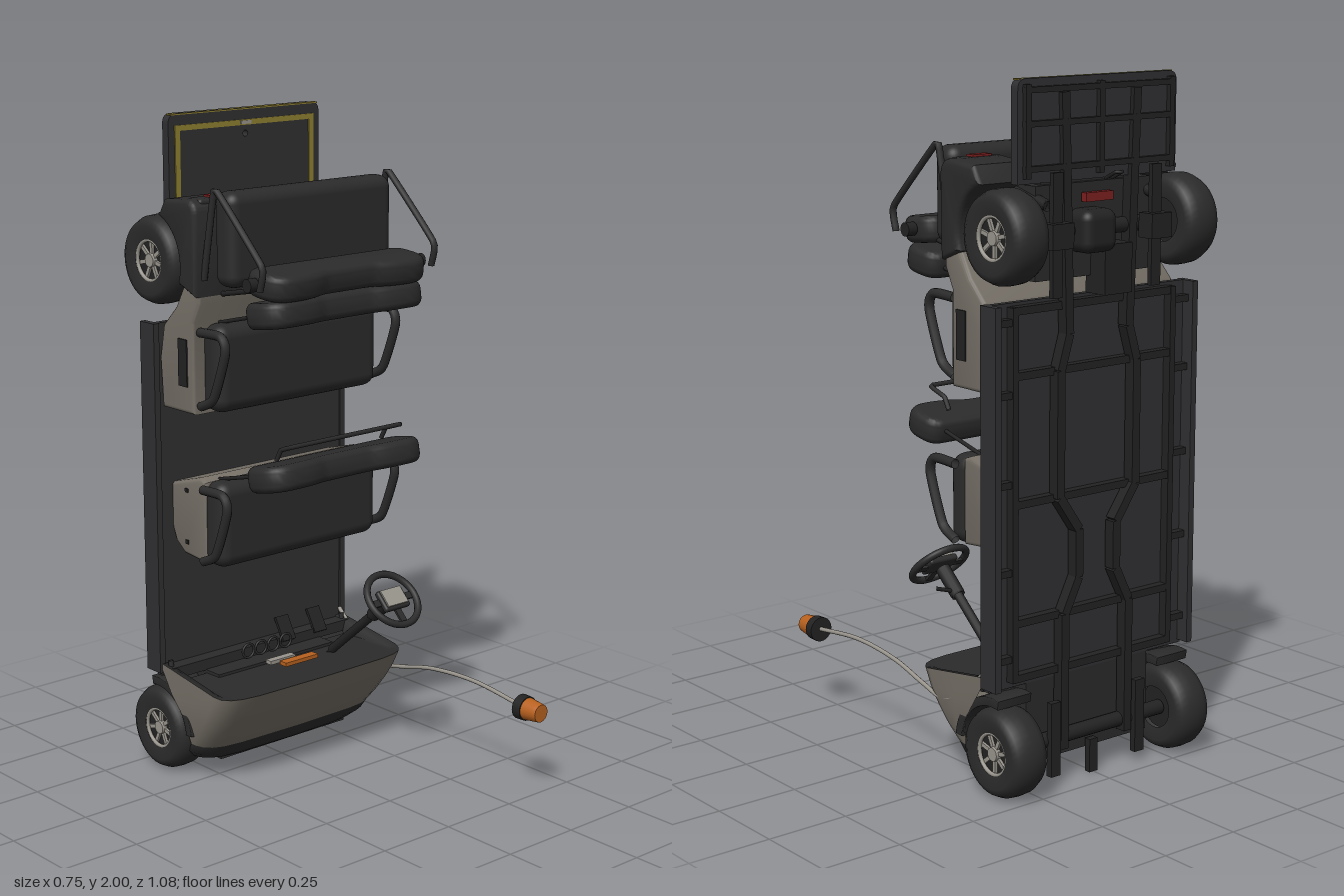
import * as THREE from 'three';
import { RoundedBoxGeometry } from 'three/addons/geometries/RoundedBoxGeometry.js';
import { toCreasedNormals } from 'three/addons/utils/BufferGeometryUtils.js';

// The cart stands on its nose: y runs along its length, z is its height.
const mat = (name, color, side = THREE.FrontSide) => {
  const m = new THREE.MeshStandardMaterial({ color, side });
  m.name = name;
  return m;
};

export function createModel() {
  const root = new THREE.Group();
  root.name = 'passengerCart';
  const black = mat('black vinyl', 0x2b2b2b, THREE.DoubleSide);
  const dark = mat('dark frame', 0x222222);
  const floorMat = mat('floor charcoal', 0x303032);
  const taupe = mat('taupe body', 0x756f66, THREE.DoubleSide);
  const grey = mat('light grey', 0x99958d);
  const yellow = mat('yellow edging', 0x8f7f30);
  const orange = mat('orange lens', 0xb8611f);
  const red = mat('red lens', 0x7d1f1f);

  const add = (name, geo, m, x = 0, y = 0, z = 0, parent = root) => {
    const o = new THREE.Mesh(geo, m);
    o.name = name;
    o.position.set(x, y, z);
    parent.add(o);
    return o;
  };
  const box = (name, m, x, y, z, w, h, d) => add(name, new THREE.BoxGeometry(w, h, d), m, x, y, z);
  const soft = (name, m, x, y, z, w, h, d, r) => add(name, new RoundedBoxGeometry(w, h, d, 4, r), m, x, y, z);
  const tube = (name, m, pts, r, tension = 0.2) => {
    const c = new THREE.CatmullRomCurve3(pts.map(p => new THREE.Vector3(...p)), false, 'catmullrom', tension);
    return add(name, new THREE.TubeGeometry(c, pts.length * 8, r, 10), m);
  };
  const bar = (name, m, a, b, w, d) => {  // box beam between two points
    const A = new THREE.Vector3(...a), B = new THREE.Vector3(...b);
    const o = add(name, new THREE.BoxGeometry(w, d, A.distanceTo(B)), m);
    o.position.copy(A).lerp(B, 0.5);
    o.up.set(0, 0.001, 1);
    o.lookAt(B);
    return o;
  };
  // Side profile of [z, y] points, extruded across x
  const profile = (name, m, shape, width, x = 0, bevel = 0.012) => {
    const g = new THREE.ExtrudeGeometry(shape, { depth: width - 2 * bevel, bevelSize: bevel, bevelThickness: bevel,
      bevelOffset: -bevel, bevelSegments: 3, curveSegments: 20 });
    g.rotateY(-Math.PI / 2).translate(width / 2 - bevel, 0, 0);
    return add(name, toCreasedNormals(g, 0.6), m, x);
  };
  const poly = pts => new THREE.Shape(pts.map(p => new THREE.Vector2(...p)));

  // Wheels: lathed tyre, dished rim, spokes
  const tyre = new THREE.LatheGeometry([[0.062, -0.052], [0.1, -0.06], [0.119, -0.05], [0.13, -0.028], [0.132, 0],
    [0.13, 0.028], [0.119, 0.05], [0.1, 0.06], [0.062, 0.052]].map(p => new THREE.Vector2(...p)), 40);
  for (const s of [-1, 1]) for (const y of [0.132, 1.582]) {
    const w = new THREE.Group();
    w.name = y < 1 ? 'frontWheel' : 'rearWheel';
    w.position.set(s * 0.31, y, -0.408);
    w.rotation.z = -s * Math.PI / 2;
    root.add(w);
    add('tyre', tyre, black, 0, 0, 0, w);
    add('rimDisc', new THREE.CylinderGeometry(0.066, 0.066, 0.07, 32), dark, 0, 0, 0, w);
    const ring = add('rimRing', new THREE.TorusGeometry(0.06, 0.006, 8, 32), grey, 0, 0.046, 0, w);
    ring.rotation.x = Math.PI / 2;
    add('hub', new THREE.CylinderGeometry(0.02, 0.024, 0.03, 16), grey, 0, 0.035, 0, w);
    for (let i = 0; i < 7; i++) {
      const a = i * Math.PI * 2 / 7;
      const sp = add('spoke', new THREE.BoxGeometry(0.045, 0.014, 0.012), grey, Math.cos(a) * 0.038, 0.036, -Math.sin(a) * 0.038, w);
      sp.rotation.y = a;
    }
  }

  // Floor tray with side skirts
  box('floorPlate', floorMat, 0, 0.855, -0.39, 0.73, 1.09, 0.02);
  for (const s of [-1, 1]) {
    box('sideSkirt', floorMat, s * 0.363, 0.86, -0.408, 0.02, 1.08, 0.066);
    box('outerRail', dark, s * 0.29, 0.86, -0.412, 0.02, 1.06, 0.03);
    for (const y of [0.4, 0.65, 0.9, 1.15, 1.35]) box('outrigger', dark, s * 0.325, y, -0.41, 0.07, 0.02, 0.026);
    // Chassis rails, narrowed at the middle
    const path = [[0.12, 0.1], [0.12, 0.5], [0.07, 0.6], [0.07, 0.74], [0.14, 0.84], [0.14, 1.2], [0.11, 1.3], [0.13, 1.96]];
    for (let i = 1; i < path.length; i++)
      bar('chassisRail', dark, [s * path[i - 1][0], path[i - 1][1], -0.425], [s * path[i][0], path[i][1], -0.425], 0.028, 0.034);
    // Rear springs and shock mounts
    box('leafSpring', dark, s * 0.18, 1.58, -0.462, 0.035, 0.34, 0.015);
    box('axleClamp', dark, s * 0.18, 1.58, -0.465, 0.075, 0.07, 0.055);
    tube('shock', dark, [[s * 0.2, 1.66, -0.45], [s * 0.2, 1.7, -0.3]], 0.016);
    box('frontSpring', dark, s * 0.16, 0.14, -0.44, 0.035, 0.22, 0.02);
  }
  for (const y of [0.34, 0.5, 0.84, 1.2, 1.38]) box('crossMember', dark, 0, y, -0.412, 0.58, 0.022, 0.028);
  for (const y of [0.132, 1.582]) add('axle', new THREE.CylinderGeometry(0.022, 0.022, 0.54, 16), dark, 0, y, -0.415).rotation.z = Math.PI / 2;
  soft('differential', dark, 0.03, 1.58, -0.43, 0.12, 0.12, 0.11, 0.03);
  box('motor', dark, -0.04, 1.47, -0.43, 0.1, 0.14, 0.08);
  box('redCover', red, 0, 1.67, -0.425, 0.1, 0.025, 0.02);
  tube('towHook', dark, [[-0.03, 1.72, -0.45], [-0.03, 1.74, -0.49], [-0.018, 1.74, -0.5], [-0.006, 1.74, -0.49], [-0.006, 1.72, -0.45]], 0.005);
  box('frontTowTongue', dark, 0, 0.05, -0.42, 0.03, 0.1, 0.02);

  // Nose cowl lofted from U-shaped sections: [y, front z, back z, half width]
  const ring = ([y, zf, zb, hw], top) => {
    const half = [[hw, zb], [hw, (zb + zf - 0.07) / 2], [hw, zf - 0.07], [hw - 0.008, zf - 0.045], [hw - 0.028, zf - 0.022],
      [hw - 0.06, zf - 0.008], [hw - 0.12, zf], [0, zf + 0.004]];
    const all = half.concat(half.slice(0, -1).reverse().map(([x, z]) => [-x, z]));
    return all.map(([x, z]) => [x, y + (top ? 0.15 * Math.max(0, -0.1 - z) : 0), z]);
  };
  const loft = (name, m, rings) => {
    const n = rings[0].length, idx = [];
    for (let r = 0; r < rings.length - 1; r++) for (let i = 0; i < n - 1; i++) {
      const a = r * n + i, b = a + n;
      idx.push(a, a + 1, b, b, a + 1, b + 1);
    }
    const g = new THREE.BufferGeometry();
    g.setAttribute('position', new THREE.Float32BufferAttribute(rings.flat(2), 3));
    g.setIndex(idx);
    g.computeVertexNormals();
    return add(name, g, m);
  };
  const low = [0.115, -0.18, -0.272, 0.34], rim = ring([0.308, -0.055, -0.39, 0.365], true);
  loft('noseBumper', black, [[0.05, -0.245, -0.33, 0.25], [0.06, -0.228, -0.32, 0.31], [0.085, -0.2, -0.29, 0.335], low].map(r => ring(r)));
  loft('noseCowl', taupe, [low, [0.16, -0.145, -0.275, 0.352], [0.21, -0.11, -0.29, 0.36], [0.26, -0.08, -0.33, 0.365]].map(r => ring(r)).concat([rim]));
  loft('dashTop', black, [rim, rim.map(([x, y, z]) => [x * 0.93, y - 0.004, z * 0.96 - 0.014]), rim.map(([x]) => [x * 0.9, 0.3, -0.33])]);
  box('noseUnderbody', black, 0, 0.19, -0.335, 0.46, 0.24, 0.13);
  box('bumperFoot', black, 0, 0.07, -0.285, 0.5, 0.04, 0.09);
  box('firewall', black, 0, 0.325, -0.365, 0.71, 0.035, 0.06);
  for (const s of [-1, 1]) {  // front wheel arch liners
    const arch = new THREE.Shape();
    arch.absarc(-0.408, 0.132, 0.165, 0.1, 1.75, false);
    arch.absarc(-0.408, 0.132, 0.138, 1.75, 0.1, true);
    profile('frontArchLiner', black, arch, 0.12, s * 0.3, 0.002);
  }
  for (let i = 0; i < 4; i++) add('cupHolder', new THREE.TorusGeometry(0.022, 0.004, 8, 20), black, -0.09 + i * 0.05, 0.347, -0.3);
  box('switchPanel', orange, 0.03, 0.318, -0.2, 0.13, 0.012, 0.03);
  box('switchPanelGrey', grey, -0.01, 0.318, -0.24, 0.1, 0.012, 0.025);
  for (const x of [0.1, 0.23]) bar('pedal', dark, [x, 0.33, -0.33], [x, 0.4, -0.37], 0.05, 0.01);
  for (const s of [-1, 1]) tube('dashPost', black, [[s * 0.345, 0.3, -0.35], [s * 0.345, 0.36, -0.36]], 0.008);

  // Steering
  tube('steeringColumn', dark, [[0.18, 0.3, -0.23], [0.18, 0.53, 0.04]], 0.014);
  tube('columnShroud', dark, [[0.18, 0.47, -0.03], [0.18, 0.535, 0.045]], 0.022);
  tube('columnLever', dark, [[0.18, 0.48, -0.02], [0.25, 0.5, -0.01]], 0.006);
  const wheel = new THREE.Group();
  wheel.name = 'steeringWheel';
  wheel.position.set(0.18, 0.545, 0.062);
  wheel.rotation.x = -Math.PI / 4;
  root.add(wheel);
  add('steeringRim', new THREE.TorusGeometry(0.088, 0.011, 12, 40), black, 0, 0, 0, wheel);
  add('steeringHub', new RoundedBoxGeometry(0.1, 0.07, 0.02, 3, 0.008), black, 0, 0, 0, wheel);
  add('steeringDisplay', new THREE.BoxGeometry(0.08, 0.056, 0.006), grey, 0, 0.003, 0.012, wheel);
  add('steeringSpokes', new THREE.BoxGeometry(0.17, 0.022, 0.008), black, 0, 0, -0.004, wheel);
  add('lowerSpoke', new THREE.BoxGeometry(0.022, 0.08, 0.008), black, 0, -0.045, -0.004, wheel);

  // Beacon on a bent stalk
  tube('beaconStalk', grey, [[0.355, 0.37, -0.38], [0.358, 0.28, -0.28], [0.356, 0.235, -0.18], [0.35, 0.25, -0.08], [0.345, 0.285, 0.07],
    [0.34, 0.297, 0.26], [0.336, 0.275, 0.47]], 0.0065, 0.5);
  const lens = [['beaconBase', dark, 0.037, 0.038, 0.03, 0.472], ['beaconLens', orange, 0.029, 0.034, 0.043, 0.508], ['beaconCap', orange, 0.027, 0.029, 0.011, 0.535]];
  for (const [n, m, r1, r2, h, z] of lens) add(n, new THREE.CylinderGeometry(r1, r2, h, 24), m, 0.336, 0.275, z).rotation.x = Math.PI / 2;

  // Seats
  const backShape = new THREE.Shape();
  backShape.moveTo(-0.25, -0.055);
  backShape.lineTo(0.25, -0.055);
  backShape.quadraticCurveTo(0.28, -0.055, 0.28, -0.02);
  backShape.quadraticCurveTo(0.29, 0.06, 0.22, 0.06);
  backShape.bezierCurveTo(0.12, 0.06, 0.12, 0.036, 0.07, 0.036);
  backShape.lineTo(-0.07, 0.036);
  backShape.bezierCurveTo(-0.12, 0.036, -0.12, 0.06, -0.22, 0.06);
  backShape.quadraticCurveTo(-0.29, 0.06, -0.28, -0.02);
  backShape.quadraticCurveTo(-0.28, -0.055, -0.25, -0.055);
  const backGeo = toCreasedNormals(new THREE.ExtrudeGeometry(backShape, { depth: 0.024, bevelSize: 0.02, bevelThickness: 0.026,
    bevelSegments: 6, curveSegments: 10 }).translate(0, 0, -0.012).rotateX(Math.PI / 2), 0.8);
  const backrest = (y, z, tilt) => { add('backrest', backGeo, black, 0, y, z).rotation.x = tilt; };
  backrest(0.99, 0.01, -0.2);
  backrest(1.467, 0.01, -0.15);
  backrest(1.555, 0.02, 0.1);
  for (const y of [0.69, 1.16]) {
    soft('seatCushion', black, 0, y + 0.125, -0.195, 0.62, 0.26, 0.095, 0.04);
    for (const s of [-1, 1]) {
      tube('armrest', black, [[s * 0.33, y + 0.235, -0.21], [s * 0.33, y + 0.235, -0.115], [s * 0.33, y + 0.19, -0.095],
        [s * 0.33, y + 0.05, -0.15], [s * 0.33, y + 0.015, -0.21]], 0.014, 0.35);
      tube('backStay', dark, [[s * 0.25, y + 0.3, -0.03], [s * 0.25, y + 0.25, -0.23]], 0.006);
    }
  }
  profile('frontSeatBase', taupe, poly([[-0.22, 0.69], [-0.33, 0.7], [-0.37, 0.73], [-0.39, 0.78], [-0.39, 0.91], [-0.25, 0.95], [-0.22, 0.94]]), 0.62);
  tube('grabRail', black, [[-0.205, 1.03, -0.02], [-0.205, 1.065, 0.0], [-0.205, 1.088, 0.065], [0.205, 1.088, 0.065],
    [0.205, 1.065, 0.0], [0.205, 1.03, -0.02]], 0.007, 0.05);
  // Rear-facing seat with triangular arm hoops
  soft('rearSeatCushion', black, 0, 1.668, -0.13, 0.62, 0.275, 0.09, 0.035);
  for (const s of [-1, 1]) {
    tube('rearArmHoop', black, [[s * 0.328, 1.55, 0.06], [s * 0.328, 1.62, 0.07], [s * 0.328, 1.8, -0.115],
      [s * 0.328, 1.805, -0.14], [s * 0.328, 1.55, -0.19]], 0.01);
    tube('rearBackStay', dark, [[s * 0.26, 1.54, 0.0], [s * 0.26, 1.5, -0.2]], 0.008);
    add('hoopBolt', new THREE.CylinderGeometry(0.02, 0.02, 0.03, 16), dark, s * 0.32, 1.56, 0.01).rotation.z = Math.PI / 2;
  }

  // Rear body: taupe panels, then black fenders with a wheel cut-out
  const panel = poly([[-0.22, 1.15], [-0.37, 1.15], [-0.38, 1.3], [-0.36, 1.4], [-0.3, 1.46], [-0.26, 1.53], [-0.19, 1.56], [-0.19, 1.48], [-0.22, 1.42]]);
  profile('rearSeatBody', taupe, panel, 0.7);
  for (const s of [-1, 1]) {
    box('sideVent', dark, s * 0.35, 1.3, -0.265, 0.008, 0.14, 0.04);
    for (const y of [0.74, 0.9]) box('baseLatch', dark, s * 0.31, y, -0.31, 0.008, 0.012, 0.012);
    const fender = new THREE.Shape();
    fender.moveTo(-0.19, 1.5);
    fender.lineTo(-0.185, 1.74);
    fender.quadraticCurveTo(-0.19, 1.78, -0.23, 1.78);
    fender.lineTo(-0.33, 1.77);
    fender.lineTo(-0.36, 1.72);
    fender.absarc(-0.408, 1.582, 0.145, 1.2, -0.35, true);
    profile('rearFender', black, fender, 0.19, s * 0.27, 0.015);
    soft('tailLampHousing', black, s * 0.265, 1.765, -0.225, 0.14, 0.03, 0.06, 0.01);
    box('tailLamp', red, s * 0.255, 1.782, -0.225, 0.065, 0.008, 0.028);
  }
  box('rearCore', black, 0, 1.58, -0.31, 0.42, 0.26, 0.2);
  box('rearLowerPanel', black, 0, 1.7, -0.36, 0.36, 0.06, 0.07);
  box('rearTrim', taupe, -0.02, 1.72, -0.208, 0.3, 0.03, 0.03);
  box('chargerPlate', grey, 0.072, 1.72, -0.275, 0.115, 0.02, 0.115);
  box('chargerLabel', yellow, 0.085, 1.731, -0.265, 0.03, 0.004, 0.015);
  box('chargerSwitch', dark, 0.03, 1.731, -0.305, 0.022, 0.004, 0.014);

  // Rear foot platform
  const plate = new THREE.Shape();
  plate.moveTo(-0.287, 1.72);
  plate.lineTo(0.287, 1.72);
  plate.lineTo(0.287, 1.972);
  plate.quadraticCurveTo(0.287, 2, 0.257, 2);
  plate.lineTo(-0.257, 2);
  plate.quadraticCurveTo(-0.287, 2, -0.287, 1.972);
  const hole = new THREE.Path();
  hole.absarc(0, 1.925, 0.009, 0, Math.PI * 2, true);
  plate.holes.push(hole);
  add('footPlatform', new THREE.ExtrudeGeometry(plate, { depth: 0.028, bevelEnabled: false }), floorMat, 0, 0, -0.428);
  box('platformTopStripe', yellow, 0, 1.958, -0.399, 0.53, 0.016, 0.004);
  for (const s of [-1, 1]) box('platformSideStripe', yellow, s * 0.255, 1.84, -0.399, 0.018, 0.23, 0.004);
  box('platformEdge', yellow, 0, 1.998, -0.408, 0.56, 0.004, 0.018);
  box('platformLatch', grey, 0, 1.958, -0.396, 0.04, 0.01, 0.003);
  for (const x of [-0.26, 0, 0.26]) box('platformRib', dark, x, 1.86, -0.435, 0.018, 0.25, 0.016);
  for (const y of [1.76, 1.88, 1.97]) box('platformCrossRib', dark, 0, y, -0.435, 0.54, 0.016, 0.016);
  return root;
}
